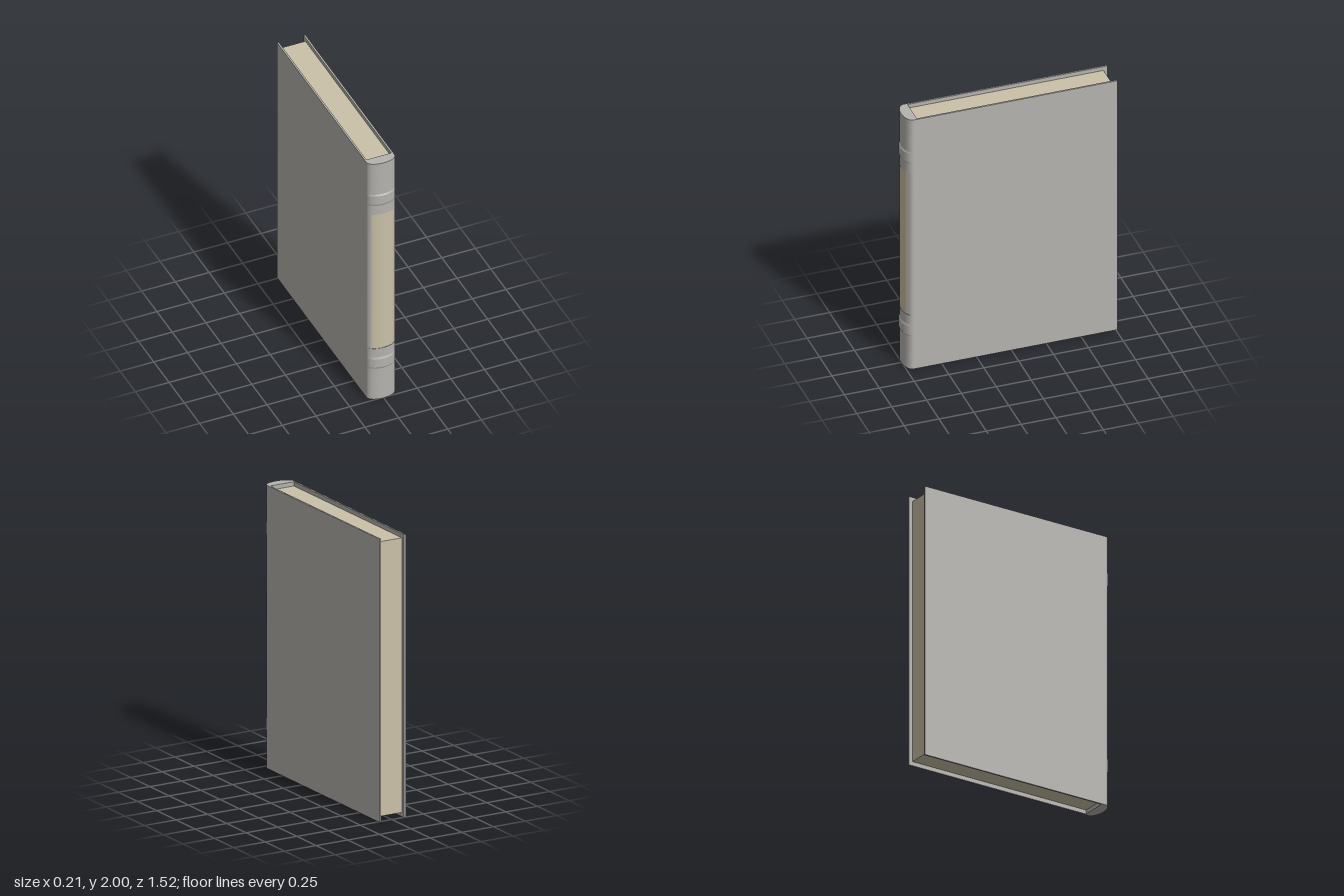
import * as THREE from 'three';

const HALF = 0.105;   // half thickness of the book
const ARC_Z = 0.7;    // where the rounded spine begins

export function createModel() {
  const book = new THREE.Group();
  book.name = 'book';
  const cloth = new THREE.MeshStandardMaterial({ color: 0xb5b3af });
  cloth.name = 'grey cloth';
  const paper = new THREE.MeshStandardMaterial({ color: 0xcac1a7 });
  paper.name = 'cream paper';

  const add = (name, geometry, material) => {
    const mesh = new THREE.Mesh(geometry, material);
    mesh.name = name;
    book.add(mesh);
    return mesh;
  };
  const box = (name, w, h, d, x, y, z, material) =>
    add(name, new THREE.BoxGeometry(w, h, d), material).position.set(x, y, z);

  // Upright curved strip on a half ellipse, its depth running from d0 (bottom) to d1 (top)
  const strip = (y0, d0, y1, d1, a0 = -Math.PI / 2, a1 = Math.PI / 2) => {
    const g = new THREE.CylinderGeometry(HALF, HALF, y1 - y0, 32, 1, true, a0, a1 - a0);
    g.translate(0, (y0 + y1) / 2, 0);
    const p = g.attributes.position;
    for (let i = 0; i < p.count; i++) {
      const t = (p.getY(i) - y0) / (y1 - y0);
      p.setZ(i, ARC_Z + (p.getZ(i) / HALF) * (d0 + (d1 - d0) * t));
    }
    g.computeVertexNormals();
    return g;
  };

  // Cover boards
  for (const [name, side] of [['leftCover', 1], ['rightCover', -1]])
    box(name, 0.013, 2, ARC_Z + 0.76, side * (HALF - 0.0065), 1, (ARC_Z - 0.76) / 2, cloth);

  // Page block, set in from the cover edges
  box('pages', 0.184, 1.94, 1.41, 0, 1, -0.025, paper);

  // Spine backing behind the rounded part
  box('spineBacking', 0.184, 2, ARC_Z - 0.675, 0, 1, (ARC_Z + 0.675) / 2, cloth);

  // Rounded spine: [height, depth] up to the middle, with one raised band, mirrored above
  const levels = [[0, 0.055], [0.26, 0.055], [0.272, 0.062], [0.34, 0.062], [0.355, 0.056], [0.43, 0.056]];
  for (let i = 0; i < levels.length - 1; i++) {
    const [y0, d0] = levels[i], [y1, d1] = levels[i + 1];
    const name = i >= 1 && i <= 3 ? 'spineBand' : 'spine';
    add(name, strip(y0, d0, y1, d1), cloth);
    add(name, strip(2 - y1, d1, 2 - y0, d0), cloth);
  }

  // Middle of the spine, slightly sunken, carrying the pale label
  const labelAngle = Math.asin(0.08 / HALF);
  add('spineMiddle', strip(0.43, 0.052, 1.575, 0.052), cloth);
  add('spineLabel', strip(0.43, 0.0535, 1.575, 0.0535, -labelAngle, labelAngle), paper);

  // Flat half-ellipse faces: spine ends and the small steps beside the label
  const half = (depth) => {
    const s = new THREE.Shape();
    s.absellipse(0, 0, HALF, depth, 0, Math.PI, false);
    return new THREE.ShapeGeometry(s, 32);
  };
  const cap = (name, depth, y, up) => {
    const g = half(depth);
    if (up) g.scale(1, -1, 1).index.array.reverse();
    g.rotateX(up ? -Math.PI / 2 : Math.PI / 2);
    g.translate(0, y, ARC_Z);
    g.computeVertexNormals();
    add(name, g, cloth);
  };
  cap('spineBottom', 0.055, 0, false);
  cap('spineTop', 0.055, 2, true);
  cap('labelStepLow', 0.056, 0.43, true);
  cap('labelStepHigh', 0.056, 1.575, false);

  return book;
}
